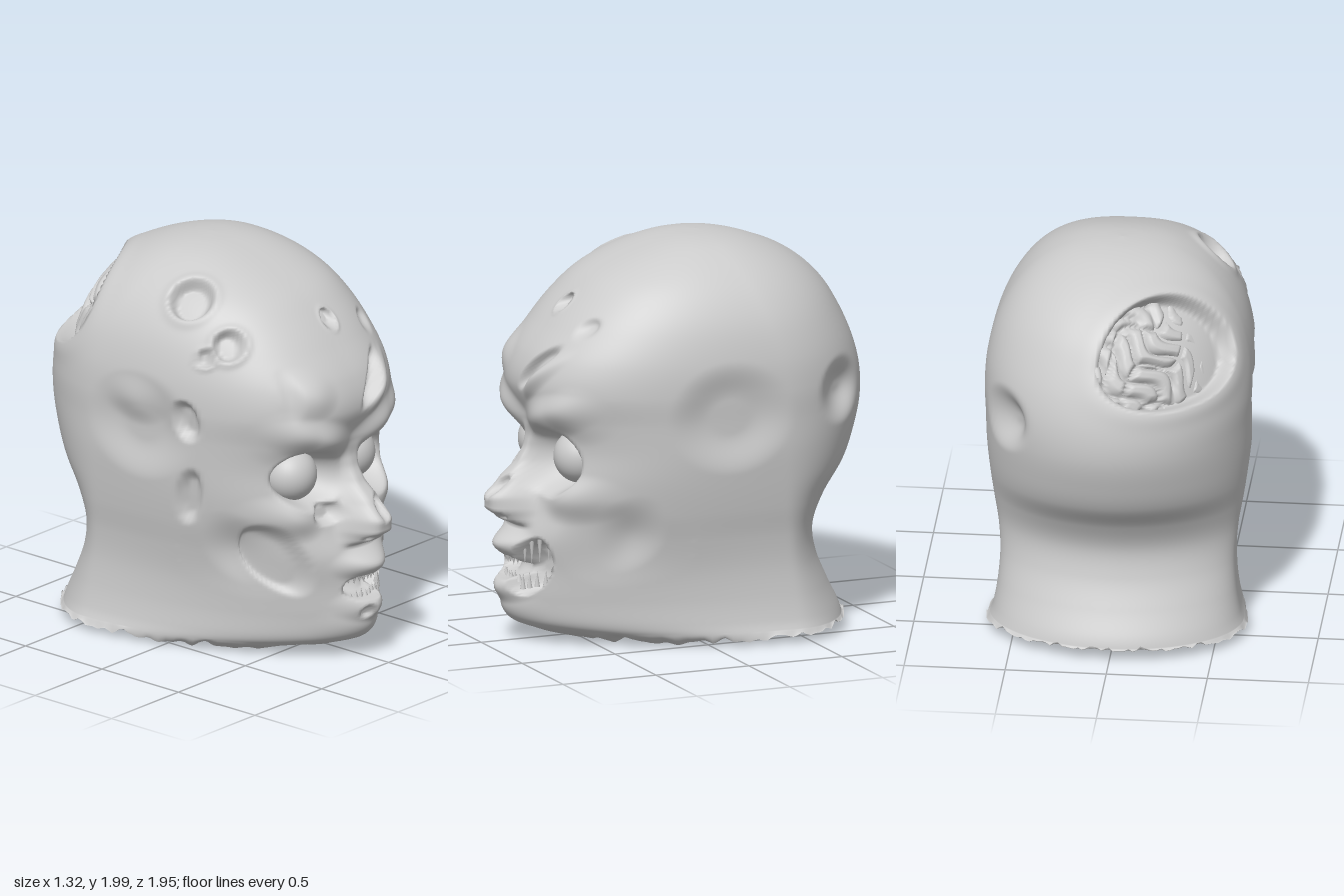
import * as THREE from 'three';
import { mergeVertices } from 'three/addons/utils/BufferGeometryUtils.js';

const { smoothstep, clamp, lerp } = THREE.MathUtils;

// Head stations: height, half width, front z, back z, centre z
const STATIONS = [
  [0.03, 0.645, 0.53, -0.87, -0.45], [0.07, 0.63, 0.72, -0.86, -0.45],
  [0.13, 0.61, 0.84, -0.84, -0.45], [0.25, 0.59, 0.87, -0.78, -0.44],
  [0.4, 0.58, 0.86, -0.72, -0.42], [0.55, 0.59, 0.85, -0.705, -0.4],
  [0.7, 0.615, 0.79, -0.77, -0.38], [0.85, 0.635, 0.76, -0.88, -0.37],
  [1.0, 0.65, 0.73, -0.94, -0.36], [1.15, 0.655, 0.76, -0.975, -0.36],
  [1.3, 0.66, 0.81, -0.97, -0.36], [1.45, 0.65, 0.77, -0.93, -0.34],
  [1.6, 0.615, 0.66, -0.86, -0.3], [1.72, 0.56, 0.55, -0.785, -0.26],
  [1.82, 0.485, 0.43, -0.685, -0.22], [1.9, 0.39, 0.27, -0.56, -0.18],
  [1.96, 0.27, 0.1, -0.41, -0.16], [1.99, 0.14, -0.03, -0.275, -0.15],
  [2.0, 0, -0.15, -0.15, -0.15],
];

// Smooth interpolation between stations
function station(t) {
  const last = STATIONS.length - 1;
  const i = Math.min(Math.floor(t), last - 1), f = t - i;
  const at = k => STATIONS[clamp(k, 0, last)];
  return STATIONS[0].map((_, c) => {
    const [a, b, d, e] = [at(i - 1)[c], at(i)[c], at(i + 1)[c], at(i + 2)[c]];
    return b + 0.5 * f * (d - a + f * (2 * a - 5 * b + 4 * d - e + f * (3 * (b - d) + e - a)));
  });
}

// Falloff of a tilted ellipse; hard near 1 gives a steep edge
const falloff = (d, hard) => 1 - smoothstep(d, hard, 1);
function spot(u, v, cu, cv, ru, rv, tilt = 0, hard = 0) {
  const du = u - cu, dv = v - cv, c = Math.cos(tilt), s = Math.sin(tilt);
  return falloff(Math.hypot((du * c + dv * s) / ru, (dv * c - du * s) / rv), hard);
}
// Wound: sunk floor with a raised rim
const wound = (d, depth, rim) => -depth * falloff(d, 0.65) + rim * Math.exp(-(((d - 1.1) / 0.2) ** 2));

// Opening in the back of the skull: centre, normal and the two axes across it
const HOLE = new THREE.Vector3(-0.28, 1.63, -0.7);
const N = new THREE.Vector3(-0.56, 0.54, -0.636).normalize();
const A = new THREE.Vector3(-0.75, 0, 0.66).normalize();
const B = N.clone().cross(A).normalize();
const HOLE_A = 0.37, HOLE_B = 0.29;

// Nose height by y
const NOSE = [[0.6, 0], [0.64, 0.1], [0.69, 0.18], [0.75, 0.2], [0.83, 0.14], [0.92, 0.07], [1.0, 0.04], [1.12, 0]];
function noseHeight(y) {
  for (let i = 1; i < NOSE.length; i++) {
    const [y0, h0] = NOSE[i - 1], [y1, h1] = NOSE[i];
    if (y >= y0 && y <= y1) return lerp(h0, h1, smoothstep(y, y0, y1) * 0.4 + 0.6 * (y - y0) / (y1 - y0));
  }
  return 0;
}

// Relief of the face, pushed along z
function faceRelief(x, y) {
  let z = 0;
  // brow, cheekbones and hollow cheeks
  for (const s of [-1, 1]) {
    z += 0.06 * spot(x, y, s * 0.22, 1.17, 0.28, 0.12, s * 0.33);
    z += 0.025 * spot(x, y, s * 0.38, 1.2, 0.13, 0.16);
    z += 0.05 * spot(x, y, s * 0.35, 0.77, 0.17, 0.13, s * 0.4);
    z -= 0.05 * spot(x, y, s * 0.42, 0.55, 0.15, 0.24, -s * 0.2);
  }
  // eye sockets
  z -= 0.18 * spot(x, y, 0.205, 0.945, 0.165, 0.19, 0.4, 0.45);
  z -= 0.18 * spot(x, y, -0.235, 0.965, 0.185, 0.165, -0.4, 0.45);
  // nose with nostrils and a torn side
  const wide = lerp(0.115, 0.05, smoothstep(y, 0.68, 1.0));
  z += noseHeight(y) * Math.exp(-((Math.abs(x - 0.012) / wide) ** 4));
  for (const s of [-1, 1]) z -= 0.03 * spot(x, y, 0.01 + s * 0.05, 0.655, 0.03, 0.02, 0, 0.2);
  z -= 0.04 * spot(x, y, 0.03, 0.8, 0.035, 0.07, -0.3, 0.4);
  z -= 0.05 * spot(x, y, -0.17, 0.78, 0.08, 0.06, 0.2, 0.5);
  // lips, chin, open mouth and torn corner
  z += 0.08 * spot(x, y, 0.01, 0.51, 0.22, 0.1);
  z += 0.06 * spot(x, y, 0, 0.3, 0.2, 0.1);
  z += 0.02 * spot(x, y, -0.02, 0.2, 0.25, 0.12);
  z -= Math.max(0.1 * spot(x, y, -0.01, 0.39, 0.125, 0.065, 0, 0.75),
    0.13 * spot(x, y, 0.16, 0.41, 0.08, 0.16, -0.3, 0.7));
  z -= 0.03 * spot(x, y, -0.04, 0.27, 0.04, 0.04, 0, 0.4);
  // torn cheek
  z -= 0.06 * spot(x, y, -0.36, 0.55, 0.085, 0.22, 0.4, 0.65);
  // forehead slash, holes and lumps
  z -= 0.05 * spot(x, y, 0.14, 1.41, 0.05, 0.18, -0.75, 0.4);
  z += 0.035 * spot(x, y, 0.2, 1.38, 0.06, 0.2, -0.75);
  z += wound(Math.hypot(x - 0.04, y - 1.7) / 0.045, 0.045, 0.006);
  z -= 0.035 * spot(x, y, 0.31, 1.62, 0.06, 0.06, 0, 0.2);
  z += 0.03 * spot(x, y, -0.28, 1.42, 0.16, 0.14);
  z -= 0.02 * spot(x, y, -0.36, 1.42, 0.05, 0.14);
  return z;
}

// Relief of the sides, pushed outwards along x
function sideRelief(y, z, left) {
  let d = -0.04 * spot(z, y, -0.07, 1.18, 0.33, 0.29, 0, 0.3);
  d -= 0.03 * spot(z, y, 0.42, 0.6, 0.17, 0.22, 0.5);
  if (left) d -= 0.09 * spot(z, y, -0.7, 1.25, 0.16, 0.18, 0, 0.1);
  else {
    d -= 0.05 * spot(z, y, 0.2, 1.25, 0.08, 0.12, 0.2, 0.5);
    d += 0.03 * spot(z, y, -0.1, 1.3, 0.2, 0.14);
    d -= 0.04 * spot(z, y, 0.2, 0.85, 0.07, 0.17, -0.2, 0.5);
  }
  return d;
}

const tri = v => Math.abs((v % 1 + 1) % 1 - 0.5) * 2;
const SCALP_WOUNDS = [[-0.44, 1.82, 0.1, 0.12], [-0.46, 1.64, 0.36, 0.085], [-0.54, 1.58, 0.28, 0.05]];

function skinGeometry() {
  const rows = 240, cols = 220, pos = [], index = [], p = new THREE.Vector3(), q = new THREE.Vector3();
  for (let i = 0; i <= rows; i++) {
    const t = i / rows * (STATIONS.length - 1);
    const [y, w, front, back, zc] = station(t);
    // jaw tapers to the chin, forehead is fuller, nape is slimmer
    const nFront = lerp(1.7, 2.5, smoothstep(y, 0.1, 1.0));
    const nBack = 1.95 - 0.2 * Math.exp(-(((y - 0.5) / 0.25) ** 2));
    for (let j = 0; j < cols; j++) {
      // columns gather towards the face
      const u = j / cols * Math.PI * 2, th = u - 0.6 * Math.sin(u);
      const s = Math.sin(th), c = Math.cos(th);
      const n = c > 0 ? nFront : nBack;
      const depth = Math.max(1e-4, c > 0 ? front - zc : zc - back);
      const r = (Math.abs(s / Math.max(w, 1e-4)) ** n + Math.abs(c / depth) ** n) ** (-1 / n);
      p.set(r * s, y, zc + r * c);
      const { x, z } = p;
      if (z > 0.1) p.z += faceRelief(x, y);
      if (Math.abs(x) > 0.25) p.x += Math.sign(x) * sideRelief(y, z, x > 0);
      // scalp wounds
      for (const [cx, cy, cz, rad] of SCALP_WOUNDS) {
        const k = wound(Math.hypot(x - cx, y - cy, z - cz) / rad, 0.5 * rad, 0.01);
        p.addScaledVector(q.set(cx, cy - 1.1, cz + 0.2).normalize(), k);
      }
      // skull opening
      q.set(x, y, z).sub(HOLE);
      if (q.dot(N) > -0.3) {
        const a = q.dot(A) / HOLE_A, b = q.dot(B) / HOLE_B;
        const d = Math.hypot(a, b) * (1 + 0.04 * Math.sin(3 * Math.atan2(b, a)));
        p.addScaledVector(N, -0.1 * falloff(d, 0.85) + 0.008 * Math.exp(-(((d - 1.1) / 0.15) ** 2)));
      }
      // ragged neck edge
      const edge = Math.max(0, 1 - t / 1.2);
      p.y += edge * (0.03 * (1 - c) + 0.035 * tri(th * 5.1) * tri(th * 1.9 + 0.3) + 0.012 * tri(th * 8.3) - 0.02);
      pos.push(p.x, Math.max(0, p.y), p.z);
      if (i < rows) {
        const a = i * cols + j, b = i * cols + (j + 1) % cols;
        index.push(a, b, b + cols, a, b + cols, a + cols);
      }
    }
  }
  const g = new THREE.BufferGeometry();
  g.setAttribute('position', new THREE.Float32BufferAttribute(pos, 3));
  g.setIndex(index);
  g.computeVertexNormals();
  return g;
}

// Domed patch with winding folds
function brainGeometry() {
  let g = new THREE.RingGeometry(0.001, 1, 110, 44);
  g.deleteAttribute('uv');
  g.deleteAttribute('normal');
  g = mergeVertices(g);
  const P = g.attributes.position, v = new THREE.Vector3();
  for (let i = 0; i < P.count; i++) {
    const a = P.getX(i) * HOLE_A, b = P.getY(i) * HOLE_B;
    const along = Math.sin(33 * (0.85 * a + 0.5 * b) + 1.3 * Math.sin(19 * b - 10 * a));
    const across = Math.sin(16 * (b - 0.5 * a) + 1.2 * Math.sin(15 * a + 1));
    const fold = Math.min(1, 1.1 * Math.sqrt(Math.abs(along)), 1.5 * Math.sqrt(Math.abs(across)));
    const h = -0.06 + 0.05 * fold - (a * a + b * b) / 1.36;
    v.copy(HOLE).addScaledVector(A, a).addScaledVector(B, b).addScaledVector(N, h);
    P.setXYZ(i, v.x, v.y, v.z);
  }
  g.computeVertexNormals();
  return g;
}

export function createModel() {
  const head = new THREE.Group();
  head.name = 'head';
  const skinMat = new THREE.MeshStandardMaterial({ color: 0xcccccc, side: THREE.DoubleSide });
  const mat = new THREE.MeshStandardMaterial({ color: 0xcccccc });
  const add = (name, geo, m = mat, parent = head) => {
    const mesh = new THREE.Mesh(geo, m);
    mesh.name = name;
    parent.add(mesh);
    return mesh;
  };
  add('skin', skinGeometry(), skinMat);
  add('brain', brainGeometry(), skinMat);

  // eyeballs
  const ball = new THREE.SphereGeometry(0.135, 36, 24);
  add('leftEye', ball).position.set(0.205, 0.96, 0.555);
  add('rightEye', ball).position.set(-0.23, 0.96, 0.555);

  // teeth along the curve of the jaw
  const teeth = new THREE.Group();
  teeth.name = 'teeth';
  head.add(teeth);
  const tooth = (x, y, len, r, up) => {
    const m = add(up ? 'lowerTooth' : 'upperTooth', new THREE.ConeGeometry(r, len, 8), mat, teeth);
    m.position.set(x, y, 0.85 - 2.6 * x * x);
    m.rotation.x = up ? 0 : Math.PI;
  };
  for (let i = 0; i < 7; i++) {
    const x = -0.1 + i * 0.029;
    tooth(x, 0.435, 0.05 + 0.015 * (i % 2), 0.017, false);
    tooth(x + 0.01, 0.345, 0.04 + 0.015 * (i % 3), 0.017, true);
  }
  for (let i = 0; i < 4; i++) {
    const x = 0.115 + i * 0.033;
    tooth(x, 0.48 + i * 0.01, 0.13, 0.015, false);
    tooth(x - 0.01, 0.33 + i * 0.01, 0.08, 0.015, true);
  }
  return head;
}
